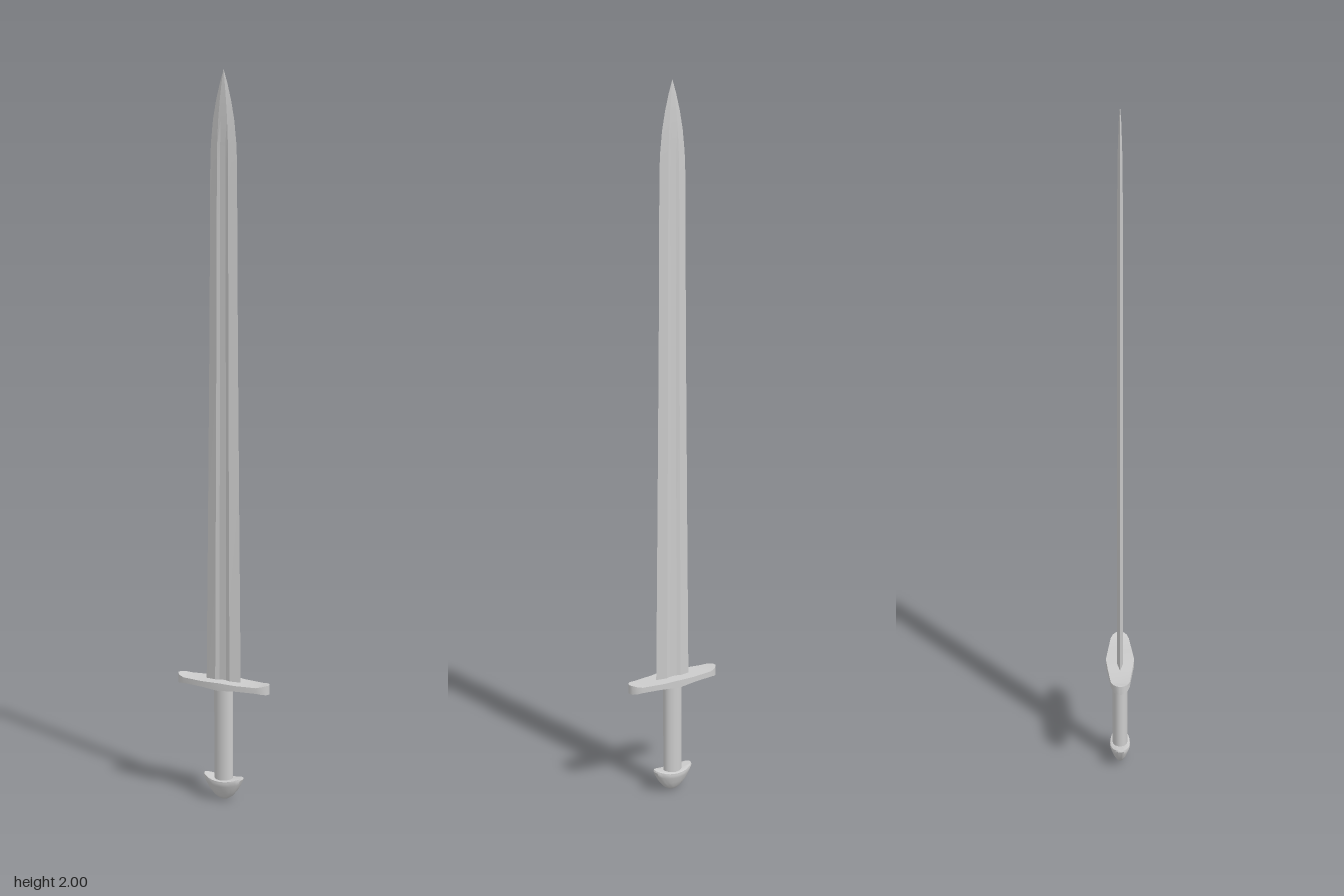
import * as THREE from 'three';
import { toCreasedNormals } from 'three/addons/utils/BufferGeometryUtils.js';

const steel = new THREE.MeshStandardMaterial({ color: 0xcccccc });

// Skin a list of equal-length rings (counter-clockwise seen from the end of the run) and cap both ends.
function loft(rings, crease) {
  const n = rings[0].length, index = [];
  for (let r = 0; r < rings.length - 1; r++) {
    for (let i = 0; i < n; i++) {
      const a = r * n + i, b = r * n + (i + 1) % n;
      index.push(a, b, b + n, a, b + n, a + n);
    }
  }
  const points = rings.flat();
  [0, rings.length - 1].forEach((r, end) => {
    const centre = new THREE.Vector3();
    rings[r].forEach((p) => centre.addScaledVector(new THREE.Vector3(...p), 1 / n));
    const c = points.push(centre.toArray()) - 1;
    for (let i = 0; i < n; i++) {
      const a = r * n + i, b = r * n + (i + 1) % n;
      index.push(c, ...(end ? [a, b] : [b, a]));
    }
  });
  const geo = new THREE.BufferGeometry();
  geo.setAttribute('position', new THREE.Float32BufferAttribute(points.flat(), 3));
  geo.setIndex(index);
  return toCreasedNormals(geo, crease);
}

function part(name, geo) {
  const mesh = new THREE.Mesh(geo, steel);
  mesh.name = name;
  return mesh;
}

// Double-edged blade with a shallow fuller that fades out before the point
function bladeGeometry() {
  // height, half width, half thickness, thickness at the fuller's floor
  const stations = [
    [0.335, 0.052, 0.008, 0.005], [0.8, 0.047, 0.008, 0.005], [1.3, 0.042, 0.0075, 0.0045],
    [1.76, 0.039, 0.007, 0.0045], [1.81, 0.037, 0.0065, 0.005], [1.87, 0.031, 0.006, 0.006],
    [1.92, 0.022, 0.0045, 0.0045], [1.965, 0.011, 0.003, 0.003], [2, 0.0003, 0.0003, 0.0003],
  ];
  const rings = stations.map(([y, w, t, f]) => {
    const half = [[w, 0], [0.42 * w, -t], [0.2 * w, -f], [-0.2 * w, -f], [-0.42 * w, -t]];
    return [...half, ...half.map(([x, z]) => [-x, -z])].map(([x, z]) => [x, y, z]);
  });
  return loft(rings, 0.12);
}

// Flat crossguard, widest in the middle, with rounded and slightly flared ends
function guardGeometry() {
  // distance from centre, half depth, half height
  const half = [
    [0, 0.04, 0.011], [0.05, 0.034, 0.008], [0.11, 0.026, 0.008],
    [0.125, 0.02, 0.011], [0.134, 0.011, 0.013], [0.138, 0.003, 0.013],
  ];
  const all = [...half.slice(1).reverse().map(([x, d, h]) => [-x, d, h]), ...half];
  const rings = all.map(([x, d, h]) =>
    [[-h, -d], [h, -d], [h, d], [-h, d]].map(([y, z]) => [x, 0.335 + y, z]));
  return loft(rings, 0.6);
}

// Boat-shaped pommel: a turned form flattened front to back, its top lifted at both ends
function pommelGeometry() {
  const profile = [[0, 0], [0.2, 0.003], [0.45, 0.012], [0.7, 0.027], [0.9, 0.043], [1, 0.053],
    [0.97, 0.058], [0.85, 0.06], [0.45, 0.06], [0, 0.06]];
  const geo = new THREE.LatheGeometry(profile.map(([r, y]) => new THREE.Vector2(r, y)), 32);
  const pos = geo.attributes.position;
  for (let i = 0; i < pos.count; i++) {
    const x = pos.getX(i), y = pos.getY(i);
    const lift = 0.013 * x * x * Math.min(1, y / 0.053);
    pos.setXYZ(i, x * 0.06, y + lift, pos.getZ(i) * 0.029);
  }
  return toCreasedNormals(geo, 0.7);
}

export function createModel() {
  const sword = new THREE.Group();
  sword.name = 'sword';

  // Oval grip
  const gripGeo = new THREE.CylinderGeometry(1, 1, 0.275, 24);
  gripGeo.scale(0.027, 1, 0.021);
  gripGeo.translate(0, 0.1925, 0);

  sword.add(
    part('blade', bladeGeometry()),
    part('crossguard', guardGeometry()),
    part('grip', gripGeo),
    part('pommel', pommelGeometry()),
  );
  return sword;
}
